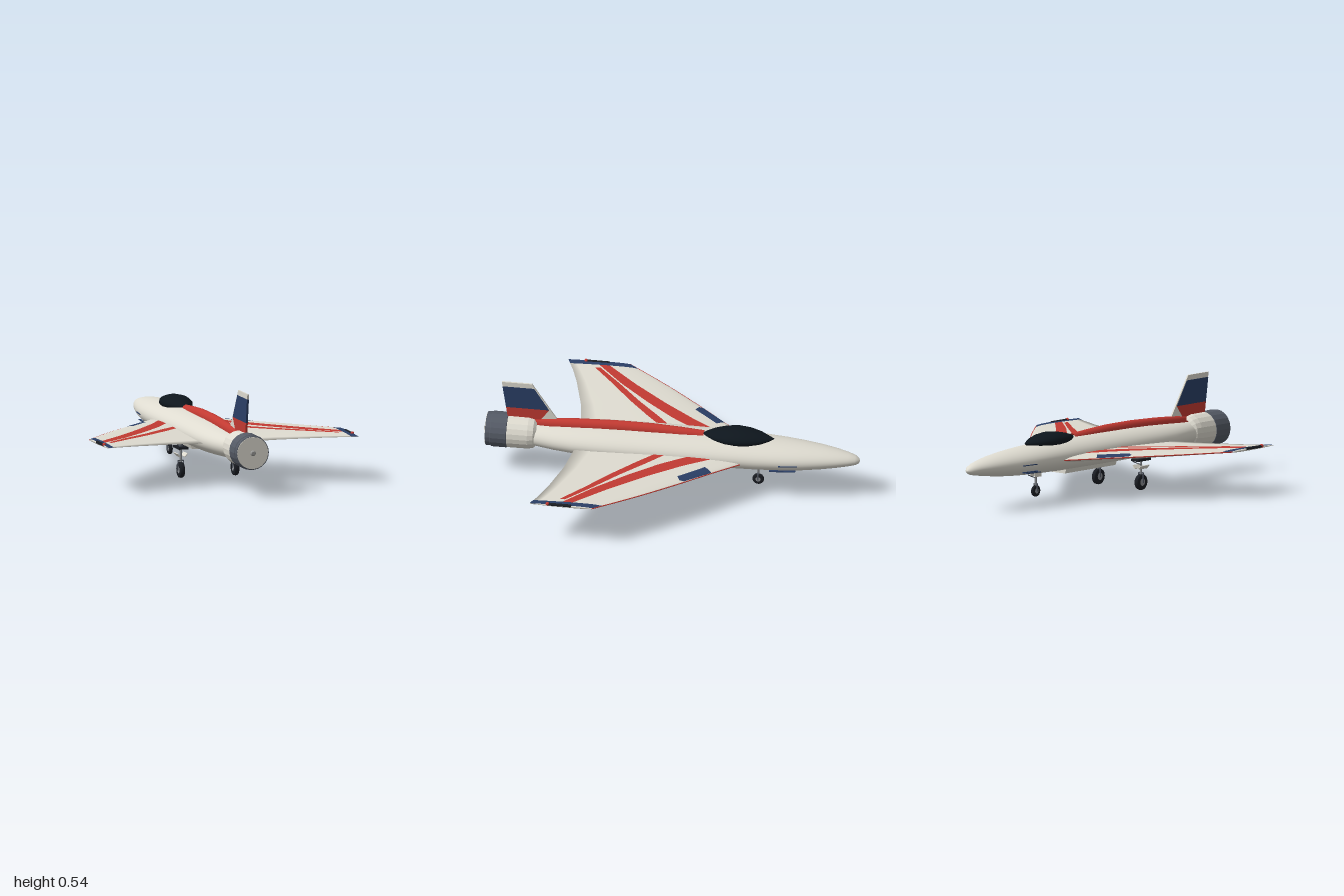
import * as THREE from 'three';
import { mergeVertices } from 'three/addons/utils/BufferGeometryUtils.js';

const CREAM = 0xdedbd0, RED = 0xc23a32, BLUE = 0x2b3f66, GREY = 0x555b66, DARK = 0x1b1e24, GLASS = 0x0e161d;
const material = (color, flatShading = false) =>
  new THREE.MeshStandardMaterial({ color, flatShading, side: THREE.DoubleSide });

function add(parent, name, geometry, color, pos = [0, 0, 0], flat = false) {
  const m = new THREE.Mesh(geometry, material(color, flat));
  m.name = name;
  m.position.set(...pos);
  parent.add(m);
  return m;
}

// Surface through fn(i, j) for i = 0..nu, j = 0..nv
function grid(fn, nu, nv, flip = false) {
  const p = [], idx = [];
  for (let i = 0; i <= nu; i++) for (let j = 0; j <= nv; j++) p.push(...fn(i, j));
  for (let i = 0; i < nu; i++) for (let j = 0; j < nv; j++) {
    const a = i * (nv + 1) + j, b = a + 1, c = a + nv + 1, d = c + 1;
    idx.push(...(flip ? [a, c, b, b, c, d] : [a, b, c, b, d, c]));
  }
  let g = new THREE.BufferGeometry();
  g.setAttribute('position', new THREE.Float32BufferAttribute(p, 3));
  g.setIndex(idx);
  g = mergeVertices(g, 1e-5);
  g.computeVertexNormals();
  return g;
}

// Elliptical body from sections [z, halfWidth, top, bottom]
function loft(sections, sides) {
  return grid((i, j) => {
    const [z, w, t, b] = sections[i], a = (j % sides) / sides * Math.PI * 2;
    return [w * Math.cos(a), (t + b) / 2 + (t - b) / 2 * Math.sin(a), z];
  }, sections.length - 1, sides);
}

// Piecewise linear lookup: column k of rows sorted by their first entry
function lookup(rows, x, k = 1) {
  let i = 0;
  while (i < rows.length - 2 && x > rows[i + 1][0]) i++;
  const [a, b] = [rows[i], rows[i + 1]];
  return a[k] + (b[k] - a[k]) * (x - a[0]) / (b[0] - a[0]);
}

// Wing shape: leading and trailing edges as [x, z], with dihedral and taper
const LEAD = [[0.05, -0.47], [0.13, -0.38], [0.24, -0.245], [0.36, -0.105], [0.51, 0.08], [0.6, 0.2], [0.69, 0.325]];
const TRAIL = [[0.05, 0.5], [0.13, 0.505], [0.3, 0.53], [0.5, 0.583], [0.6, 0.617], [0.69, 0.655]];
const midY = x => 0.221 + 0.022 * (x - 0.1) / 0.59;
const halfThick = (x, u) => (0.024 - 0.019 * (x - 0.05) / 0.64) * 2.6 * Math.sqrt(Math.max(u, 0)) * (1 - u) + 0.0008;
function topY(x, z) {
  const l = lookup(LEAD, x), t = lookup(TRAIL, x);
  return midY(x) + halfThick(x, THREE.MathUtils.clamp((z - l) / (t - l), 0, 1));
}

function wing(s) {
  const g = new THREE.Group();
  g.name = s > 0 ? 'leftWing' : 'rightWing';
  const N = 32, C = 20;
  add(g, 'wingPanel', grid((i, j) => {
    const x = 0.05 + 0.64 * Math.min(i, N) / N, k = j % (2 * C);
    const q = (k <= C ? k : 2 * C - k) / C, u = q * q;
    const l = lookup(LEAD, x), t = lookup(TRAIL, x);
    const h = i > N ? 0 : halfThick(x, u) * (k <= C ? 1 : -1);
    return [s * x, midY(x) + h, l + (t - l) * u];
  }, N + 1, 2 * C, s < 0), CREAM);

  // Painted strips lying on the upper skin, rows [x, zFront, zRear]
  const strip = (name, color, rows) => {
    const x0 = rows[0][0], x1 = rows[rows.length - 1][0];
    add(g, name, grid((i, j) => {
      const x = x0 + (x1 - x0) * i / 24;
      const a = Math.max(lookup(rows, x, 1), lookup(LEAD, x)), b = lookup(rows, x, 2);
      const z = a + (b - a) * j / 10;
      return [s * x, topY(x, z) + 0.002, z];
    }, 24, 10, s < 0), color);
  };
  strip('wideStripe', RED, [[0.12, -0.25, -0.12], [0.22, -0.09, 0.03], [0.35, 0.085, 0.185], [0.5, 0.265, 0.345], [0.655, 0.43, 0.485]]);
  strip('narrowStripe', RED, [[0.12, 0.01, 0.065], [0.22, 0.1, 0.16], [0.35, 0.225, 0.275], [0.5, 0.355, 0.395], [0.63, 0.475, 0.505]]);
  strip('tipBand', BLUE, [[0.655, 0.26, 0.641], [0.689, 0.325, 0.654]]);
  strip('edgePatch', BLUE, [[0.21, -0.208, -0.203], [0.24, -0.245, -0.17], [0.32, -0.15, -0.075], [0.35, -0.115, -0.092]]);

  // Red leading edge and tip light
  const edge = new THREE.CatmullRomCurve3(LEAD.slice(1).map(([x, z]) => new THREE.Vector3(s * x, midY(x), z)));
  add(g, 'leadingEdge', new THREE.TubeGeometry(edge, 40, 0.003, 6), RED);
  add(g, 'tipPod', new THREE.CapsuleGeometry(0.008, 0.11, 4, 10).rotateX(Math.PI / 2), DARK, [s * 0.685, 0.247, 0.495]);
  add(g, 'tipLight', new THREE.SphereGeometry(0.01, 12, 8), RED, [s * 0.685, 0.249, 0.56]);
  return g;
}

// Wheel, hub and strut
function gear(name, x, z, r, width, topOfStrut) {
  const g = new THREE.Group();
  g.name = name;
  g.position.set(x, 0, z);
  const y = name === 'noseGear' ? 0.057 : r, h = width / 2, c = h * 0.5;
  const tyre = [[r * 0.45, -h], [r - c, -h], [r - c * 0.3, -h * 0.7], [r, 0], [r - c * 0.3, h * 0.7], [r - c, h], [r * 0.45, h]];
  add(g, 'tyre', new THREE.LatheGeometry(tyre.map(p => new THREE.Vector2(...p)), 24).rotateZ(Math.PI / 2), DARK, [0, y, 0]);
  add(g, 'hub', new THREE.CylinderGeometry(r * 0.46, r * 0.46, width * 0.9, 16).rotateZ(Math.PI / 2), 0x8b8e92, [0, y, 0]);
  const len = topOfStrut - y - r;
  add(g, 'strut', new THREE.CylinderGeometry(0.006, 0.006, len + 0.01, 10), 0x8b8e92, [0, y + r + len / 2, 0]);
  for (const s of [-1, 1])
    add(g, 'forkArm', new THREE.BoxGeometry(0.003, r + 0.008, 0.008), GREY, [s * (h + 0.002), y + r / 2, 0]);
  add(g, 'forkBridge', new THREE.BoxGeometry(width + 0.007, 0.006, 0.01), GREY, [0, y + r + 0.006, 0]);
  const brace = new THREE.LineCurve3(new THREE.Vector3(0, topOfStrut - 0.03, 0), new THREE.Vector3(0, topOfStrut - 0.008, -0.06));
  add(g, 'brace', new THREE.TubeGeometry(brace, 1, 0.0025, 6), GREY);
  return g;
}

// Flat plate in the z-y plane
function plate(points, thick) {
  const shape = new THREE.Shape(points.map(p => new THREE.Vector2(...p)));
  return new THREE.ExtrudeGeometry(shape, { depth: thick, bevelEnabled: false })
    .rotateY(-Math.PI / 2).translate(thick / 2, 0, 0);
}

export function createModel() {
  const root = new THREE.Group();
  root.name = 'jetAircraft';

  // Body
  add(root, 'fuselage', loft([
    [-1, 0.0005, 0.2225, 0.2215], [-0.994, 0.016, 0.237, 0.209], [-0.975, 0.031, 0.249, 0.2], [-0.94, 0.046, 0.26, 0.193],
    [-0.88, 0.066, 0.272, 0.184], [-0.8, 0.086, 0.284, 0.173], [-0.7, 0.106, 0.294, 0.163], [-0.6, 0.12, 0.301, 0.157],
    [-0.45, 0.132, 0.309, 0.152], [-0.25, 0.137, 0.314, 0.148], [0, 0.138, 0.316, 0.147], [0.25, 0.137, 0.314, 0.148],
    [0.4, 0.132, 0.31, 0.15], [0.52, 0.121, 0.304, 0.155], [0.62, 0.105, 0.298, 0.16], [0.7, 0.086, 0.292, 0.166], [0.77, 0.068, 0.285, 0.172],
  ], 40), CREAM);
  add(root, 'spine', loft([
    [-0.17, 0.024, 0.33, 0.27], [-0.05, 0.029, 0.338, 0.275], [0.1, 0.03, 0.346, 0.278], [0.3, 0.03, 0.346, 0.276],
    [0.5, 0.029, 0.338, 0.268], [0.65, 0.025, 0.328, 0.262], [0.75, 0.012, 0.315, 0.262], [0.76, 0.0005, 0.3, 0.28],
  ], 24), RED);
  add(root, 'canopy', loft([
    [-0.545, 0.0005, 0.317, 0.315], [-0.52, 0.02, 0.325, 0.302], [-0.47, 0.053, 0.341, 0.285], [-0.41, 0.074, 0.354, 0.275],
    [-0.35, 0.08, 0.359, 0.272], [-0.29, 0.074, 0.353, 0.277], [-0.23, 0.053, 0.341, 0.287], [-0.185, 0.024, 0.327, 0.303], [-0.16, 0.0005, 0.317, 0.315],
  ], 24), GLASS);

  // Belly panel, tapered downwards
  const belly = new THREE.BoxGeometry(0.14, 0.034, 0.4);
  const bp = belly.attributes.position;
  for (let i = 0; i < bp.count; i++) if (bp.getY(i) < 0) bp.setX(i, bp.getX(i) * 0.8);
  belly.computeVertexNormals();
  add(root, 'bellyPanel', belly, CREAM, [0, 0.152, -0.09]);

  // Engine casing with nozzle ring, closing disc and hub; profiles are [radius, z]
  const turned = (name, pts, color) => add(root, name,
    new THREE.LatheGeometry(pts.map(p => new THREE.Vector2(...p)), 20).rotateX(Math.PI / 2), color, [0, 0.234, 0], true);
  turned('engineCasing', [[0.068, 0.715], [0.084, 0.73], [0.091, 0.76], [0.092, 0.87]], CREAM);
  turned('nozzleRing', [[0.088, 0.87], [0.094, 0.872], [0.094, 0.955], [0.09, 0.958], [0.09, 0.982], [0.084, 0.985]], GREY);
  turned('endDisc', [[0.087, 0.981], [0.085, 0.986], [0, 0.986]], CREAM);
  turned('hubCap', [[0.014, 0.982], [0.014, 0.995], [0.009, 1], [0, 1]], 0x9a9a98);

  // Tail fin with painted panels
  add(root, 'fin', plate([[0.575, 0.305], [0.61, 0.325], [0.745, 0.535], [0.905, 0.535], [0.87, 0.3]], 0.009), CREAM);
  add(root, 'finBluePanel', plate([[0.653, 0.38], [0.733, 0.508], [0.9015, 0.508], [0.8825, 0.38]], 0.011), BLUE);
  add(root, 'finRedPanel', plate([[0.7, 0.315], [0.653, 0.38], [0.8825, 0.38], [0.873, 0.315]], 0.011), RED);

  // Wings, main gear with bay plates and doors, nose vents
  for (const s of [1, -1]) {
    root.add(wing(s));
    root.add(gear(s > 0 ? 'leftMainGear' : 'rightMainGear', s * 0.15, 0.206, 0.043, 0.026, 0.165));
    add(root, 'gearBay', new THREE.BoxGeometry(0.052, 0.012, 0.1), DARK, [s * 0.15, 0.163, 0.206]);
    add(root, 'gearMount', new THREE.CylinderGeometry(0.012, 0.012, 0.05, 10), GREY, [s * 0.15, 0.19, 0.206]);
    for (const t of [-1, 1]) {
      const door = add(root, 'gearDoor', new THREE.BoxGeometry(0.004, 0.024, 0.07), CREAM, [s * 0.15 + t * 0.02, 0.124, 0.206]);
      door.rotation.z = t * -0.7;
      const noseDoor = add(root, 'noseGearDoor', new THREE.BoxGeometry(0.004, 0.02, 0.05), CREAM, [t * 0.016, 0.143, -0.458]);
      noseDoor.visible = s > 0;
    }
    for (const [x, y, z] of [[0.104, 0.186, -0.62], [0.091, 0.176, -0.58], [0.115, 0.225, -0.63]])
      add(root, 'noseVent', new THREE.BoxGeometry(0.012, 0.004, 0.1), BLUE, [s * x, y, z]).rotation.y = s * 0.12;
  }
  root.add(gear('noseGear', 0, -0.458, 0.031, 0.018, 0.155));
  return root;
}
